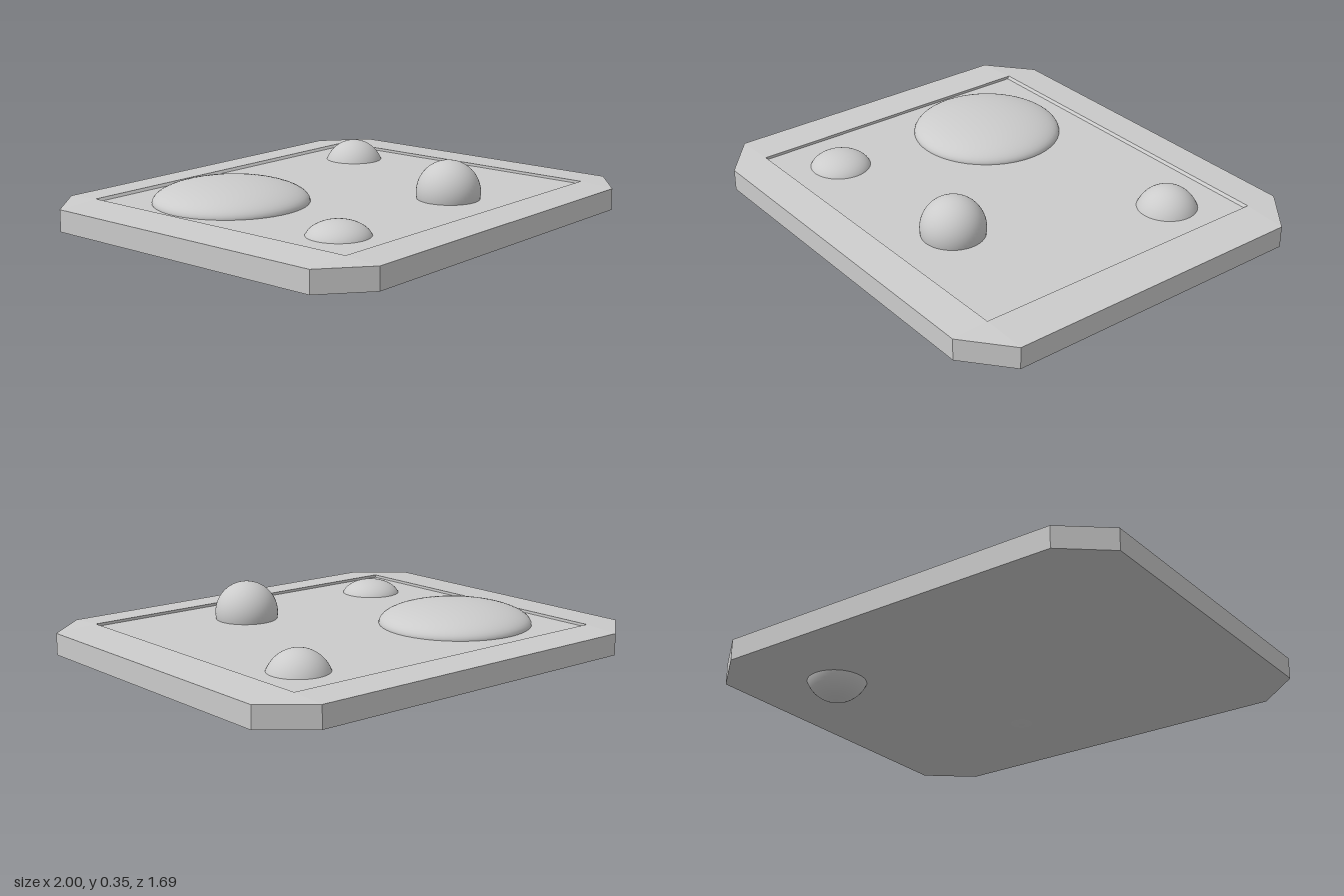
import * as THREE from 'three';

const grey = new THREE.MeshStandardMaterial({ color: 0xcccccc });
const greyFlat = new THREE.MeshStandardMaterial({ color: 0xcccccc, flatShading: true });

// Corner-cut outline and the inner rectangle, each as 8 matching [x, z] points
const outer = [[1, 0.685], [0.805, 0.847], [-0.805, 0.847], [-1, 0.685],
  [-1, -0.685], [-0.805, -0.847], [0.805, -0.847], [1, -0.685]];
const inner = outer.map(([x, z]) => [Math.sign(x) * 0.805, Math.sign(z) * 0.687]);
const floor = inner.map(([x, z]) => [x, z < 0 ? -0.678 : z]); // back wall leans
const centre = outer.map(() => [0, 0]);

// Skins a stack of rings, from the middle of the top round to the middle of the underside
function skinRings(rings) {
  const positions = [];
  const tri = new THREE.Triangle();
  const add = (a, b, c) => {
    tri.set(a, b, c);
    if (tri.getArea() > 1e-7) for (const p of [a, b, c]) positions.push(p.x, p.y, p.z);
  };
  const at = (ring, i) => {
    const [x, z] = ring.points[i % ring.points.length];
    return new THREE.Vector3(x, ring.y, z);
  };
  for (let r = 0; r < rings.length - 1; r++) {
    for (let i = 0; i < 8; i++) {
      const a0 = at(rings[r], i), a1 = at(rings[r], i + 1);
      const b0 = at(rings[r + 1], i), b1 = at(rings[r + 1], i + 1);
      add(a0, a1, b0);
      add(a1, b1, b0);
    }
  }
  const geometry = new THREE.BufferGeometry();
  geometry.setAttribute('position', new THREE.Float32BufferAttribute(positions, 3));
  geometry.computeVertexNormals();
  return geometry;
}

export function createModel() {
  const group = new THREE.Group();
  group.name = 'tray';

  // Slab with a shallow recess, sloping rim and slightly bulging underside
  const slab = new THREE.Mesh(skinRings([
    { points: centre, y: 0.188 },
    { points: floor, y: 0.188 },
    { points: inner, y: 0.2 },
    { points: outer, y: 0.19 },
    { points: outer, y: 0.095 },
    { points: inner, y: 0.086 },
    { points: centre, y: 0.086 },
  ]), greyFlat);
  slab.name = 'slab';
  group.add(slab);

  // Round bodies sunk into the slab: name, centre, horizontal and vertical radius
  const domes = [
    ['largeFlatDome', [-0.43, 0.19, -0.26], 0.333, 0.093],
    ['smallFlatDome', [-0.565, 0.167, 0.449], 0.136, 0.081],
    ['highBall', [0.207, 0.215, 0.402], 0.138, 0.137],
    ['lowBall', [0.583, 0.139, -0.435], 0.138, 0.139],
  ];
  const sphere = new THREE.SphereGeometry(1, 48, 32);
  for (const [name, position, radius, height] of domes) {
    const dome = new THREE.Mesh(sphere, grey);
    dome.name = name;
    dome.position.set(...position);
    dome.scale.set(radius, height, radius);
    group.add(dome);
  }
  return group;
}
